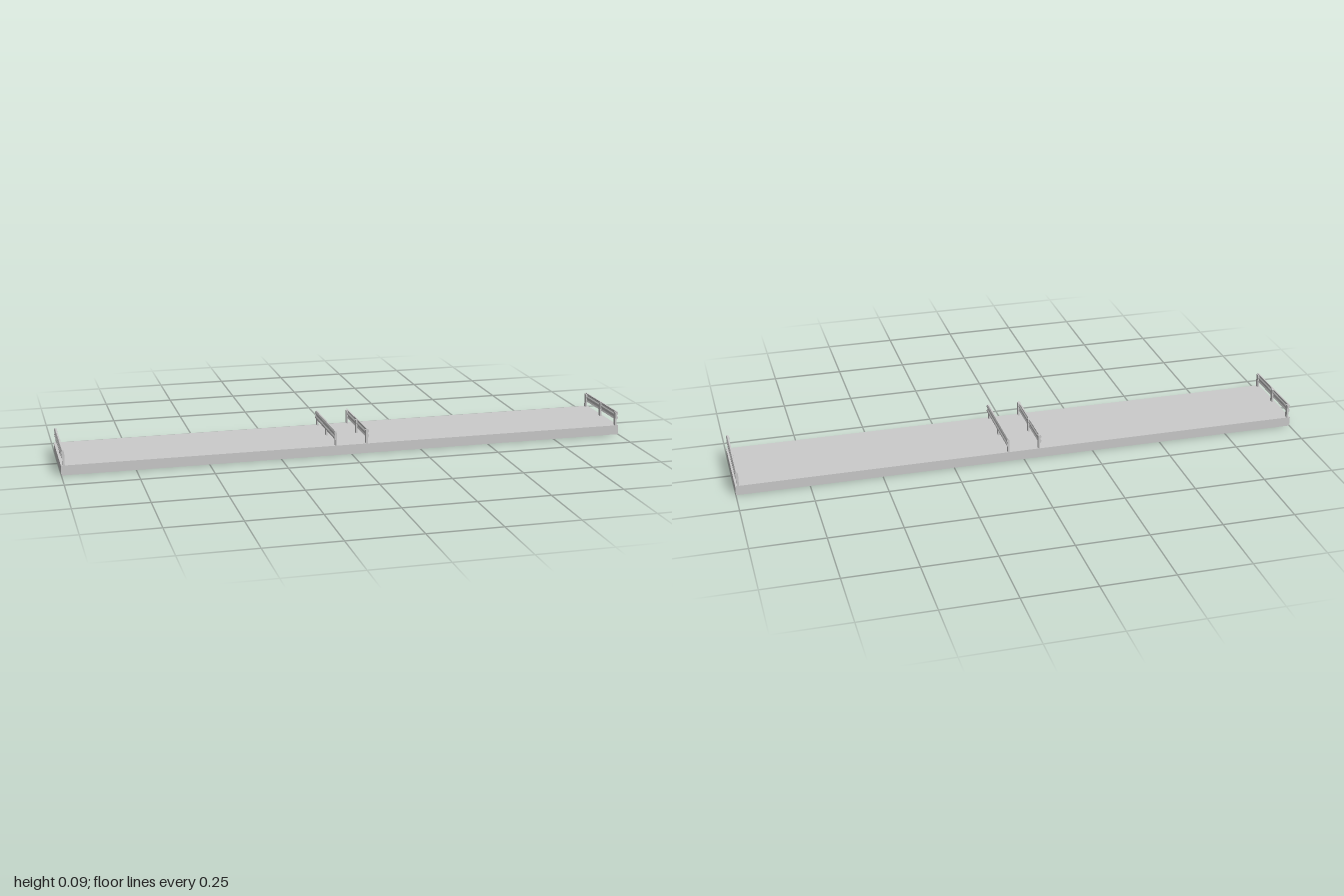
import * as THREE from 'three';

const HALF_Z = 0.142, DECK = 0.034, TOP = 0.086, BEAM = 0.055;

export function createModel() {
  const group = new THREE.Group();
  const mat = new THREE.MeshStandardMaterial({ color: 0xcccccc });

  function box(name, w, h, d, x, y, z, parent) {
    const m = new THREE.Mesh(new THREE.BoxGeometry(w, h, d), mat);
    m.name = name;
    m.position.set(x, y + h / 2, z);
    parent.add(m);
  }

  // Road slab
  box('roadSlab', 2, DECK, HALF_Z * 2, 0, 0, 0, group);

  // Corrugated beam section: two lobes with a shallow valley between them
  const face = [[0.001, 0], [0.004, 0.005], [0.004, 0.010], [0.001, 0.0135],
    [0.001, 0.0175], [0.004, 0.021], [0.004, 0.026], [0.001, TOP - BEAM]];
  const outline = [...face, ...face.slice().reverse().map(([x, y]) => [x - 0.005, y])];
  const section = new THREE.Shape(outline.map(([x, y]) => new THREE.Vector2(x, y)));
  const beamGeo = new THREE.ExtrudeGeometry(section, { depth: HALF_Z * 2, bevelEnabled: false });
  beamGeo.translate(0, BEAM, -HALF_Z);

  // Guard rails: one at each end and a pair along the median
  for (const [x, turn] of [[-0.993, Math.PI], [-0.058, Math.PI], [0.058, 0], [0.993, 0]]) {
    const rail = new THREE.Group();
    rail.name = 'guardRail';
    const beam = new THREE.Mesh(beamGeo, mat);
    beam.name = 'railBeam';
    rail.add(beam);
    for (const z of [-0.135, 0, 0.135]) {
      box('railPost', 0.006, 0.048, 0.014, -0.003, DECK, z, rail);
    }
    rail.position.x = x;
    rail.rotation.y = turn;
    group.add(rail);
  }
  return group;
}
